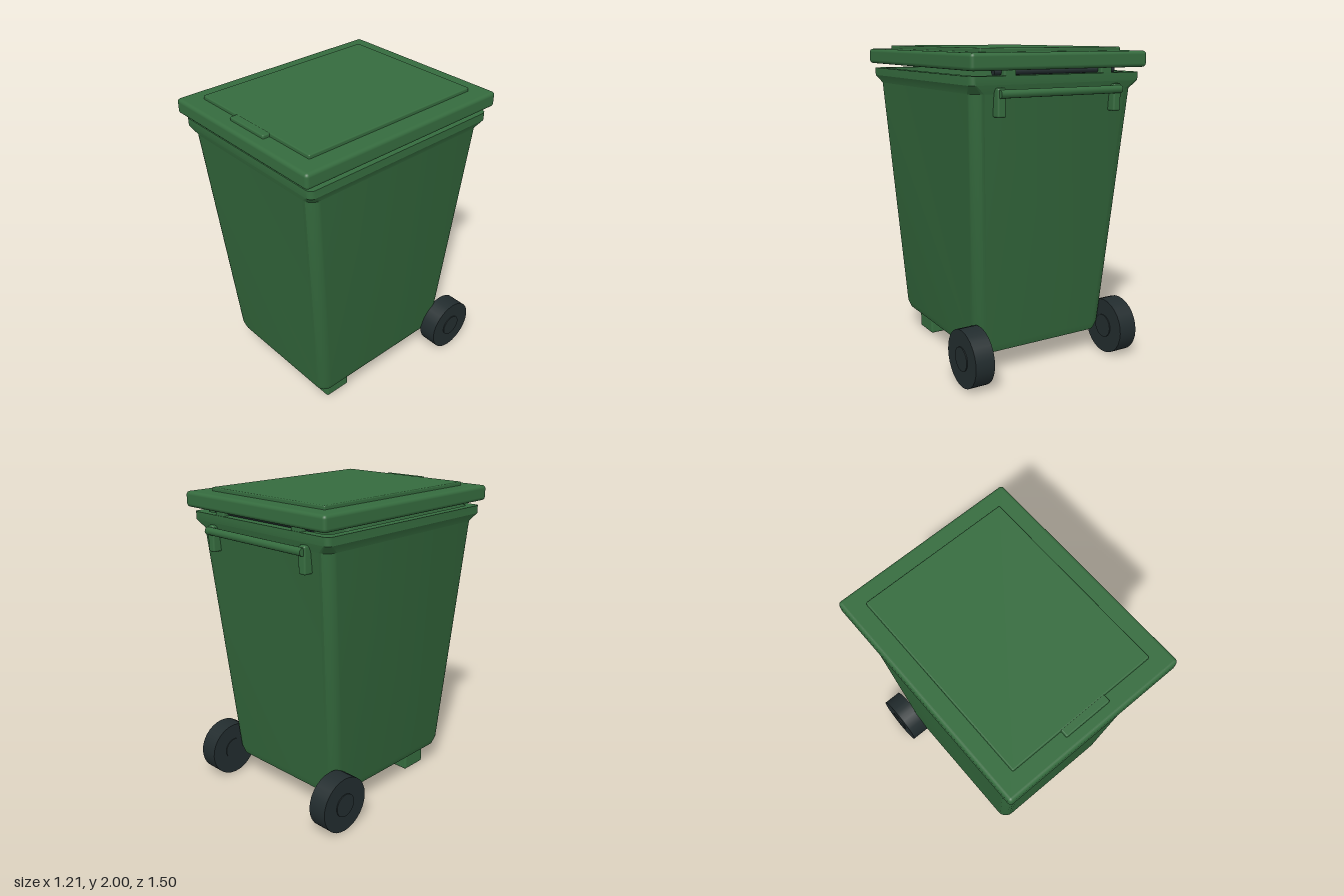
import * as THREE from 'three';
import { toCreasedNormals } from 'three/addons/utils/BufferGeometryUtils.js';
import { RoundedBoxGeometry } from 'three/addons/geometries/RoundedBoxGeometry.js';

const green = new THREE.MeshStandardMaterial({ color: 0x356b3e });
green.name = 'green plastic';
const dark = new THREE.MeshStandardMaterial({ color: 0x222c2e });
dark.name = 'dark rubber';

// Closed loft through rounded rectangles: [y, halfWidth, halfDepth, cornerRadius]
function loft(sections, steps = 6) {
  const pos = [], index = [], n = 4 * (steps + 1);
  for (const [y, w, d, r] of sections) {
    for (let c = 0; c < 4; c++) {
      const sx = c === 0 || c === 3 ? 1 : -1, sz = c < 2 ? 1 : -1;
      for (let s = 0; s <= steps; s++) {
        const a = (c + s / steps) * Math.PI / 2;
        pos.push(sx * (w - r) + r * Math.cos(a), y, sz * (d - r) + r * Math.sin(a));
      }
    }
  }
  const last = sections.length - 1;
  for (let i = 0; i < last; i++) {
    for (let j = 0; j < n; j++) {
      const k = (j + 1) % n, a = i * n, b = a + n;
      index.push(a + j, b + j, b + k, a + j, b + k, a + k);
    }
  }
  const c0 = pos.length / 3;
  pos.push(0, sections[0][0], 0, 0, sections[last][0], 0);
  for (let j = 0; j < n; j++) {
    const k = (j + 1) % n;
    index.push(c0, j, k, c0 + 1, last * n + k, last * n + j);
  }
  const g = new THREE.BufferGeometry();
  g.setAttribute('position', new THREE.Float32BufferAttribute(pos, 3));
  g.setIndex(index);
  return toCreasedNormals(g, 0.5);
}

export function createModel() {
  const bin = new THREE.Group();
  bin.name = 'wheeledBin';

  const add = (name, geometry, material, x, y, z) => {
    const mesh = new THREE.Mesh(geometry, material);
    mesh.name = name;
    mesh.position.set(x, y, z);
    bin.add(mesh);
    return mesh;
  };
  // Rounded block given by its lower and upper bounds
  const block = (name, [x0, x1], [y0, y1], [z0, z1], radius) =>
    add(name, new RoundedBoxGeometry(x1 - x0, y1 - y0, z1 - z0, 3, radius), green,
      (x0 + x1) / 2, (y0 + y1) / 2, (z0 + z1) / 2);
  // Cylinder lying along x
  const rod = (name, radius, length, sides, material, x, y, z) =>
    add(name, new THREE.CylinderGeometry(radius, radius, length, sides).rotateZ(Math.PI / 2),
      material, x, y, z);

  // Tapered hollow body with flared rim
  add('body', loft([
    [0.15, 0.452, 0.525, 0.06],
    [0.20, 0.472, 0.542, 0.07],
    [1.75, 0.560, 0.684, 0.07],
    [1.80, 0.588, 0.709, 0.035],
    [1.85, 0.588, 0.709, 0.035],
    [1.85, 0.535, 0.655, 0.05],
    [0.22, 0.440, 0.510, 0.05],
  ]), green, 0, 0, 0.005);

  // Lid with raised panel and front tab
  block('lid', [-0.607, 0.607], [1.88, 1.977], [-0.747, 0.752], 0.022);
  block('lidPanel', [-0.49, 0.49], [1.96, 2.0], [-0.63, 0.635], 0.008);
  block('lidTab', [-0.155, 0.155], [1.96, 1.998], [0.60, 0.68], 0.008);

  // Hinge under the back of the lid
  rod('hingeRod', 0.018, 0.84, 16, dark, 0, 1.868, -0.65);

  // Rear handle bar
  rod('handleBar', 0.024, 0.84, 16, green, 0, 1.752, -0.729);

  for (const s of [-1, 1]) {
    const span = (a, b) => (s > 0 ? [a, b] : [-b, -a]);
    block('hingeBlock', span(0.295, 0.375), [1.84, 1.89], [-0.70, -0.60], 0.01);
    block('handleBracket', span(0.375, 0.43), [1.62, 1.785], [-0.725, -0.65], 0.012);
    block('frontFoot', span(0.232, 0.398), [0.005, 0.17], [0.26, 0.448], 0.015);

    // Wheel with a slightly proud hub
    rod('wheel', 0.18, 0.126, 28, dark, s * 0.53, 0.18, -0.573);
    rod('wheelHub', 0.075, 0.138, 24, dark, s * 0.53, 0.18, -0.573);
  }
  return bin;
}
